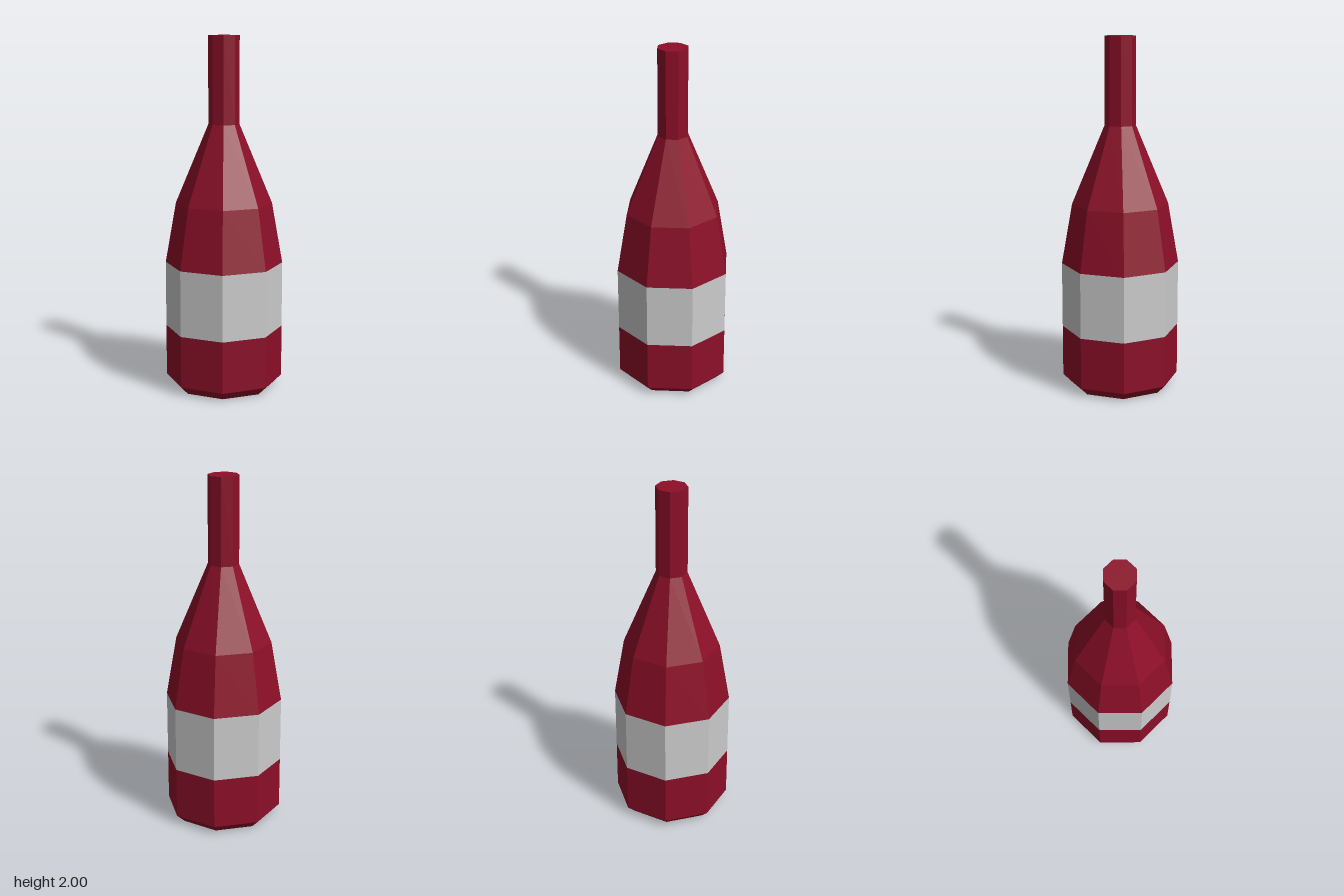
import * as THREE from 'three';

const SIDES = 8;

// Eight-sided ring from a profile of [radius, height], listed bottom to top
function turned(name, profile, color) {
  const points = profile.map(([r, y]) => new THREE.Vector2(r, y));
  const material = new THREE.MeshStandardMaterial({ color, flatShading: true });
  const mesh = new THREE.Mesh(new THREE.LatheGeometry(points, SIDES), material);
  mesh.name = name;
  return mesh;
}

export function createModel() {
  const group = new THREE.Group();
  group.name = 'bottle';
  const glass = 0x8c0f28;
  const radius = 0.333;

  // Closed base with a bevelled foot
  group.add(turned('base', [[0, 0], [0.282, 0], [radius, 0.05], [radius, 0.345]], glass));

  // Plain label band, flush with the body
  group.add(turned('label', [[radius, 0.345], [radius, 0.72]], 0xcccccc));

  // Tapered shoulder
  group.add(turned('shoulder', [[radius, 0.72], [0.272, 1.065], [0.087, 1.51]], glass));

  // Straight neck with a closed top
  group.add(turned('neck', [[0.087, 1.51], [0.087, 2], [0, 2]], glass));

  return group;
}
